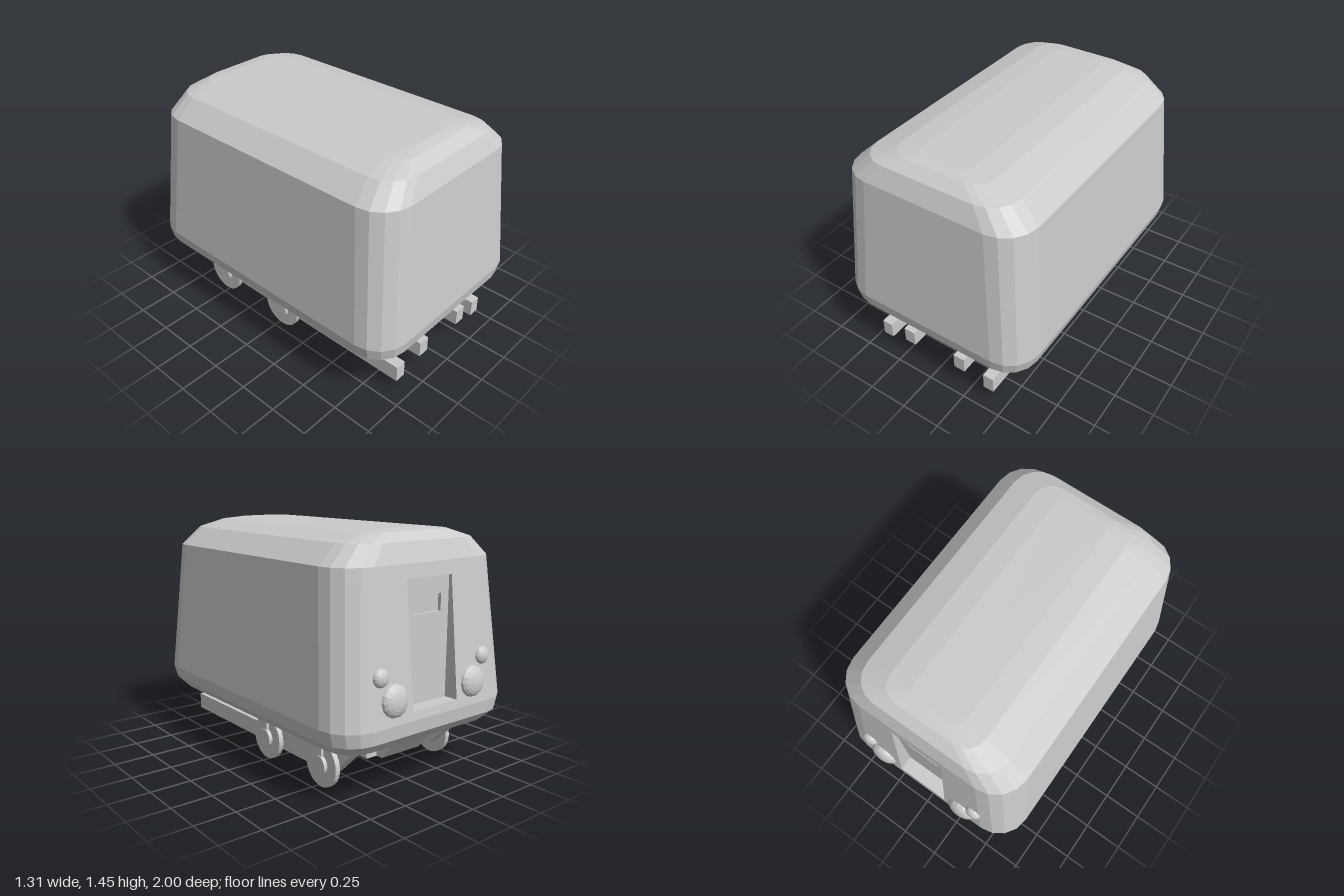
import * as THREE from 'three';

const mat = new THREE.MeshStandardMaterial({ color: 0xcccccc, flatShading: true });
const thin = new THREE.MeshStandardMaterial({ color: 0xcccccc, flatShading: true, side: THREE.DoubleSide });

const DOOR = { half: 0.17, low: 0.5, high: 1.2, z: -0.87 };
// z of the sloping rear wall at height y
const rearZ = (y) => -0.965 + ((y - 0.45) / 0.83) * 0.085;
const frontZ = (y) => 1.0 - ((y - 0.45) / 0.83) * 0.07;
const sideX = (y) => 0.655 - ((y - 0.45) / 0.83) * 0.065;

// Rounded rectangle at height y, with two extra points on the rear for the doorway
function ring(y, hx, zf, zb, r, d) {
  const pts = [];
  const corner = (cx, cz, start) => {
    for (let i = 0; i <= 4; i++) {
      const a = start + (i / 4) * (Math.PI / 2);
      pts.push([cx + r * Math.cos(a), y, cz + r * Math.sin(a)]);
    }
  };
  corner(hx - r, zf - r, 0);
  corner(-hx + r, zf - r, Math.PI / 2);
  corner(-hx + r, zb + r, Math.PI);
  pts.push([-d, y, zb], [d, y, zb]);
  corner(hx - r, zb + r, Math.PI * 1.5);
  return pts;
}

function bodyGeometry() {
  const wall = (y) => ring(y, sideX(y), frontZ(y), rearZ(y), 0.2, DOOR.half);
  const rings = [
    ring(0.31, 0.58, 0.93, -0.9, 0.17, DOOR.half),
    ring(0.37, 0.635, 0.985, -0.955, 0.19, DOOR.half),
    wall(0.45), wall(DOOR.low), wall(DOOR.high), wall(1.28),
    ring(1.39, 0.47, 0.88, -0.84, 0.17, DOOR.half),
    ring(1.437, 0.31, 0.81, -0.78, 0.12, 0.15),
    ring(1.45, 0.17, 0.75, -0.7, 0.07, 0.08),
  ];
  const n = rings[0].length;
  const pos = rings.flat(2);
  const index = [];
  for (let k = 0; k < rings.length - 1; k++) {
    for (let i = 0; i < n; i++) {
      if (k === 3 && i === 15) continue; // doorway opening
      const j = (i + 1) % n;
      const a = k * n + i, b = k * n + j, c = b + n, d = a + n;
      index.push(a, c, b, a, d, c);
    }
  }
  // floor and roof caps
  const base = rings.length * n, top = (rings.length - 1) * n;
  pos.push(0, 0.31, 0, 0, 1.45, 0);
  for (let i = 0; i < n; i++) {
    const j = (i + 1) % n;
    index.push(base, i, j, base + 1, top + j, top + i);
  }
  const g = new THREE.BufferGeometry();
  g.setAttribute('position', new THREE.Float32BufferAttribute(pos, 3));
  g.setIndex(index);
  g.computeVertexNormals();
  return g;
}

// Four reveals running from the rear wall in to the door
function revealGeometry() {
  const { half, low, high, z } = DOOR;
  const corners = [[-half, low], [half, low], [half, high], [-half, high]];
  const pos = corners.flatMap(([x, y]) => [x, y, rearZ(y), x, y, z]);
  const index = [];
  for (let i = 0; i < 4; i++) {
    const a = i * 2, b = ((i + 1) % 4) * 2;
    index.push(a, b, b + 1, a, b + 1, a + 1);
  }
  const g = new THREE.BufferGeometry();
  g.setAttribute('position', new THREE.Float32BufferAttribute(pos, 3));
  g.setIndex(index);
  g.computeVertexNormals();
  return g;
}

const rect = (Type, x, y0, y1) =>
  new Type([[-x, y0], [x, y0], [x, y1], [-x, y1]].map((p) => new THREE.Vector2(...p)));

// Side outline given as [z, y], extruded across x0..x1
function profile(points, x0, x1) {
  const shape = new THREE.Shape(points.map((p) => new THREE.Vector2(...p)));
  const g = new THREE.ExtrudeGeometry(shape, { depth: x1 - x0, bevelEnabled: false });
  return g.rotateY(-Math.PI / 2).translate(x1, 0, 0);
}

export function createModel() {
  const model = new THREE.Group();
  model.name = 'railCar';
  const add = (name, geometry, x = 0, y = 0, z = 0, material = mat) => {
    const m = new THREE.Mesh(geometry, material);
    m.name = name;
    m.position.set(x, y, z);
    model.add(m);
    return m;
  };

  add('body', bodyGeometry());

  // Rear door with a sunken window
  add('doorReveal', revealGeometry(), 0, 0, 0, thin);
  const door = rect(THREE.Shape, DOOR.half, DOOR.low, DOOR.high);
  door.holes.push(rect(THREE.Path, 0.11, 1.0, 1.1));
  add('door', new THREE.ExtrudeGeometry(door, { depth: 0.02, bevelEnabled: false }), 0, 0, DOOR.z);
  add('doorWindow', new THREE.BoxGeometry(0.24, 0.12, 0.01), 0, 1.05, DOOR.z + 0.025);

  // Coupler housing under the rear end
  add('couplerHousing', profile([[-0.5, 0.15], [-0.5, 0.32], [-0.84, 0.32], [-0.7, 0.15]], -0.15, 0.15));

  for (const s of [1, -1]) {
    const side = s > 0 ? 'left' : 'right';
    const span = (a, b) => (s > 0 ? [a, b] : [-b, -a]);

    // Lamps
    const slope = Math.atan(0.085 / 0.83);
    for (const [name, x, y, r, depth] of [['Headlamp', 0.3, 0.585, 0.092, 0.045], ['MarkerLamp', 0.39, 0.72, 0.052, 0.034]]) {
      const lamp = add(side + name, new THREE.SphereGeometry(r, 14, 10).rotateX(Math.PI / 2), s * x, y, rearZ(y));
      lamp.scale.z = depth / r;
      lamp.rotation.x = slope;
    }

    // Frame rails
    add(side + 'InnerRail', new THREE.BoxGeometry(0.075, 0.1, 1.6), s * 0.1875, 0.2, 0.145);
    add(side + 'OuterRail', profile(
      [[0.93, 0.085], [0.93, 0.19], [-0.53, 0.19], [-0.66, 0.32], [-0.83, 0.32], [-0.58, 0.085]],
      ...span(0.35, 0.42)));
    add(side + 'TruckPlate', profile(
      [[-0.03, 0.32], [-0.13, 0.14], [-0.39, 0.14], [-0.5, 0.32]], ...span(0.37, 0.425)));

    // Wheels, hubs and hangers
    for (const [end, z] of [['Front', 0.02], ['Rear', -0.525]]) {
      const disc = (r, w) => new THREE.CylinderGeometry(r, r, w, 32).rotateZ(Math.PI / 2);
      add(side + end + 'Wheel', disc(0.135, 0.03), s * 0.44, 0.135, z);
      add(side + end + 'Hub', disc(0.06, 0.06), s * 0.448, 0.135, z);
      add(side + end + 'Hanger', new THREE.BoxGeometry(0.018, 0.14, 0.05), s * 0.465, 0.255, z);
    }
  }
  return model;
}
